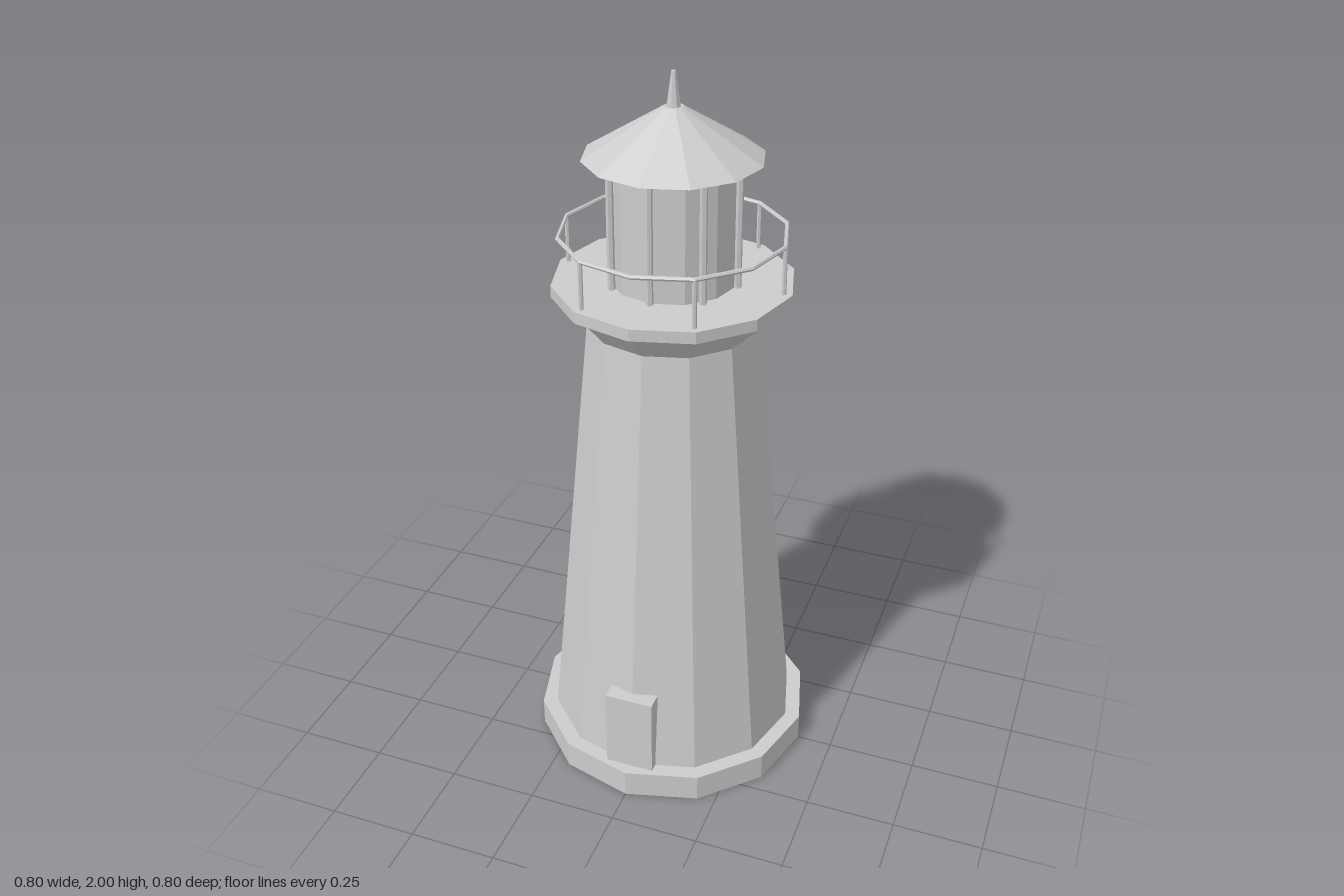
import * as THREE from 'three';

export function createModel() {
  const model = new THREE.Group();
  model.name = 'lighthouse';
  const stone = new THREE.MeshStandardMaterial({ color: 0xcccccc, flatShading: true });
  stone.name = 'pale grey';

  const add = (name, geometry, x = 0, y = 0, z = 0, parent = model) => {
    const mesh = new THREE.Mesh(geometry, stone);
    mesh.name = name;
    mesh.position.set(x, y, z);
    parent.add(mesh);
    return mesh;
  };
  // Upright faceted section between two heights
  const section = (name, rBottom, rTop, y0, y1, sides = 12) =>
    add(name, new THREE.CylinderGeometry(rTop, rBottom, y1 - y0, sides), 0, (y0 + y1) / 2, 0);
  // Ring of equal slim uprights, first one on the +x axis
  const ring = (name, count, radius, thickness, y0, y1) => {
    const group = new THREE.Group();
    group.name = name + 's';
    const geometry = new THREE.CylinderGeometry(thickness, thickness, y1 - y0, 6);
    for (let i = 0; i < count; i++) {
      const a = (i / count) * Math.PI * 2;
      add(name, geometry, Math.cos(a) * radius, (y0 + y1) / 2, Math.sin(a) * radius, group);
    }
    model.add(group);
  };

  // Plinth, tapering tower and flared gallery support
  section('base', 0.4, 0.4, 0, 0.08);
  section('tower', 0.357, 0.23, 0.08, 1.34);
  section('galleryFlare', 0.23, 0.3, 1.34, 1.425);
  section('galleryDeck', 0.32, 0.32, 1.425, 1.457);

  // Front door block
  add('door', new THREE.BoxGeometry(0.138, 0.24, 0.05), 0, 0.2, 0.34);

  // Gallery railing
  ring('railPost', 6, 0.297, 0.006, 1.455, 1.585);
  add('handrail', new THREE.TorusGeometry(0.297, 0.006, 6, 12).rotateX(Math.PI / 2), 0, 1.585, 0);

  // Lantern room with its glazing bars
  section('lantern', 0.168, 0.168, 1.455, 1.787);
  ring('lanternBar', 8, 0.174, 0.01, 1.455, 1.787);

  // Roof and spire
  section('roof', 0.233, 0.026, 1.785, 1.912);
  section('spire', 0.019, 0.006, 1.91, 2, 8);

  return model;
}
